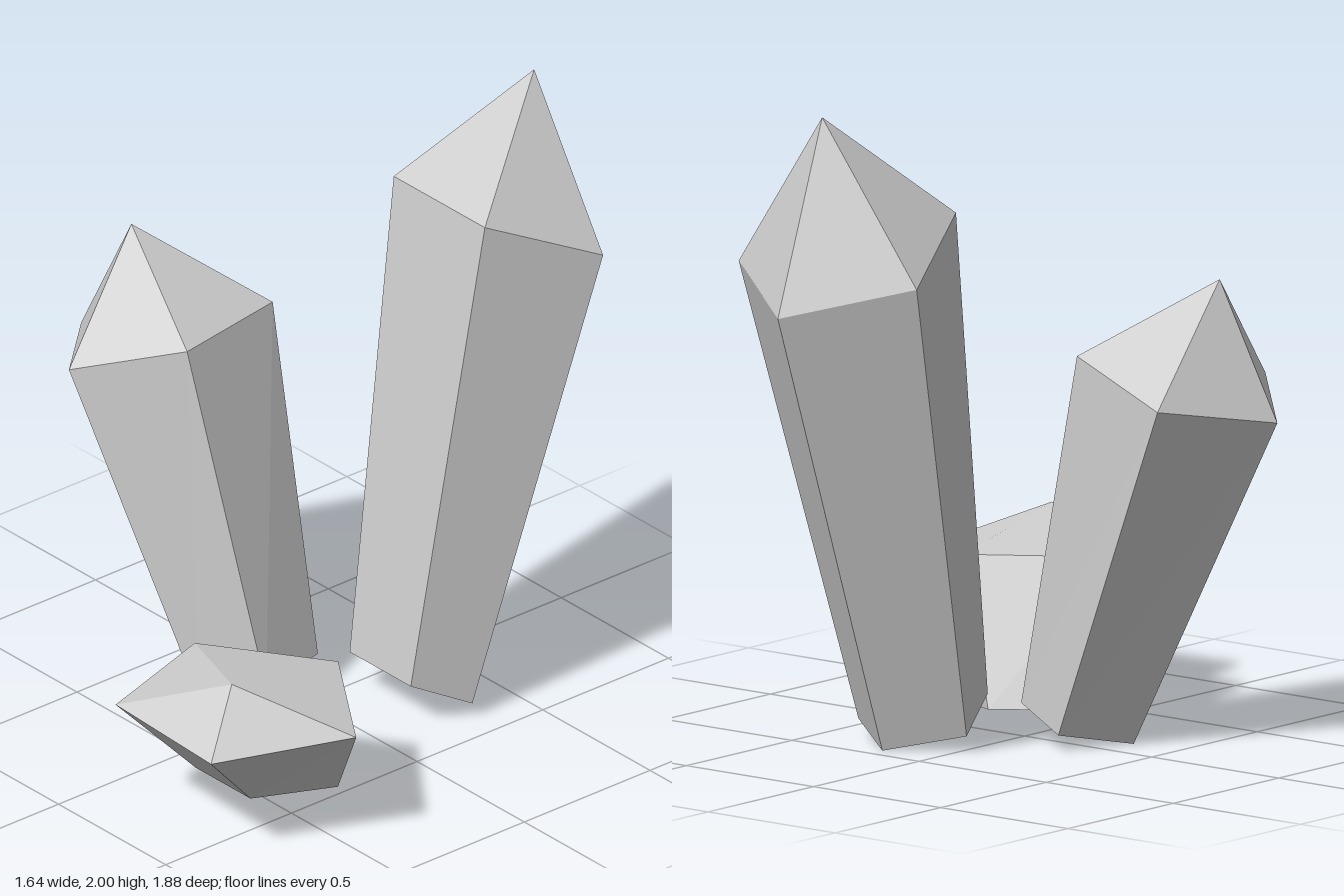
import * as THREE from 'three';

const material = new THREE.MeshStandardMaterial({ color: 0xcccccc, flatShading: true });

// Faceted crystal: base ring, wider shoulder ring and a tip.
// Rings run counter-clockwise seen from above.
function crystal(name, base, shoulder, tip) {
  const n = base.length;
  const pos = [];
  const tri = (a, b, c) => pos.push(...a, ...b, ...c);
  for (let i = 0; i < n; i++) {
    const j = (i + 1) % n;
    // side facet
    tri(base[i], base[j], shoulder[j]);
    tri(base[i], shoulder[j], shoulder[i]);
    // point facet
    tri(shoulder[i], shoulder[j], tip);
    // base cap
    if (i > 0 && i < n - 1) tri(base[0], base[j], base[i]);
  }
  const geometry = new THREE.BufferGeometry();
  geometry.setAttribute('position', new THREE.Float32BufferAttribute(pos, 3));
  geometry.computeVertexNormals();
  const mesh = new THREE.Mesh(geometry, material);
  mesh.name = name;
  return mesh;
}

export function createModel() {
  const group = new THREE.Group();
  group.name = 'crystalCluster';

  // Tall crystal leaning back
  group.add(crystal('tallCrystal',
    [[0.045, 0.145, -0.12], [0.33, 0.145, -0.12], [0.4, 0.05, -0.305], [0.19, 0, -0.445], [-0.025, 0.05, -0.305]],
    [[-0.025, 1.675, -0.355], [0.4, 1.675, -0.355], [0.535, 1.51, -0.71], [0.19, 1.41, -0.94], [-0.165, 1.51, -0.71]],
    [0.19, 2, -0.73]));

  // Medium crystal leaning to the side
  group.add(crystal('mediumCrystal',
    [[-0.165, 0.05, 0.3], [0.02, 0.12, 0.19], [-0.045, 0.12, -0.07], [-0.23, 0.05, -0.117], [-0.33, 0, 0.12]],
    [[-0.52, 1.11, 0.515], [-0.215, 1.225, 0.305], [-0.285, 1.225, -0.095], [-0.66, 1.11, -0.165], [-0.82, 1.04, 0.21]],
    [-0.61, 1.46, 0.19]));

  // Short crystal leaning to the front
  group.add(crystal('shortCrystal',
    [[0.095, 0, 0.535], [0.35, 0, 0.535], [0.465, 0, 0.285], [0.28, 0.02, 0.165], [0.07, 0.02, 0.325]],
    [[0.19, 0.4, 0.935], [0.635, 0.38, 0.935], [0.82, 0.4, 0.515], [0.49, 0.45, 0.305], [0.12, 0.45, 0.56]],
    [0.515, 0.54, 0.75]));

  return group;
}
